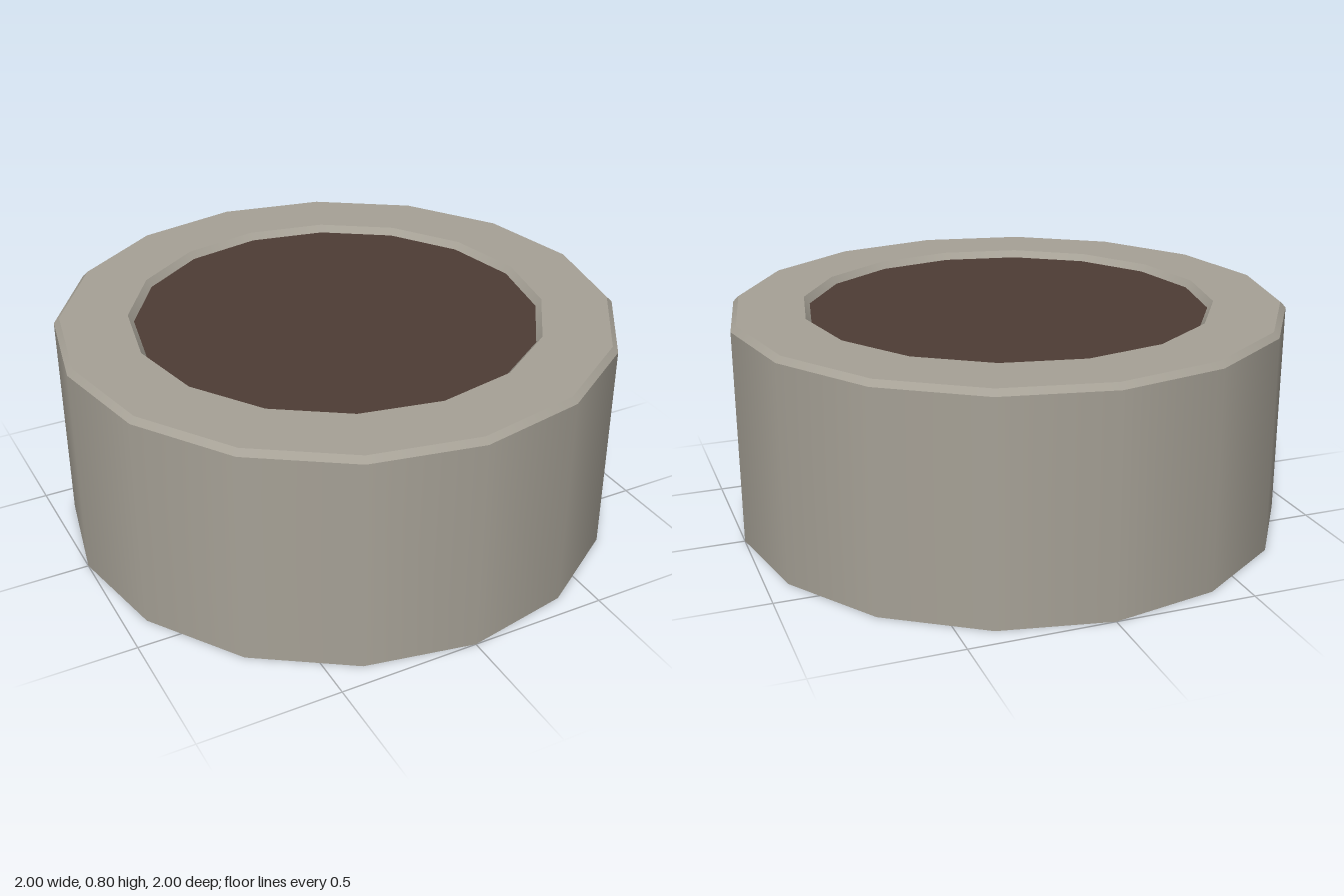
import * as THREE from 'three';

const SIDES = 16;

export function createModel() {
  const model = new THREE.Group();
  model.name = 'roundPlanter';

  const stone = new THREE.MeshStandardMaterial({ color: 0xa6a196, side: THREE.DoubleSide });
  stone.name = 'stone grey';
  const soil = new THREE.MeshStandardMaterial({ color: 0x4e3c35, side: THREE.DoubleSide });
  soil.name = 'soil brown';

  // One lathed band per profile segment: smooth around, sharp between bands
  const addBand = (name, r0, y0, r1, y1) => {
    const profile = [new THREE.Vector2(r0, y0), new THREE.Vector2(r1, y1)];
    const band = new THREE.Mesh(new THREE.LatheGeometry(profile, SIDES), stone);
    band.name = name;
    model.add(band);
  };

  // Hollow shell, open underneath
  addBand('outerWall', 1, 0, 1, 0.78);
  addBand('outerBevel', 1, 0.78, 0.98, 0.8);
  addBand('topRim', 0.98, 0.8, 0.74, 0.8);
  addBand('innerBevel', 0.74, 0.8, 0.72, 0.775);

  // Soil filling the opening just below the rim
  const disc = new THREE.Mesh(new THREE.CircleGeometry(0.72, SIDES), soil);
  disc.name = 'soilSurface';
  disc.rotation.x = -Math.PI / 2;
  disc.position.y = 0.775;
  model.add(disc);

  return model;
}
